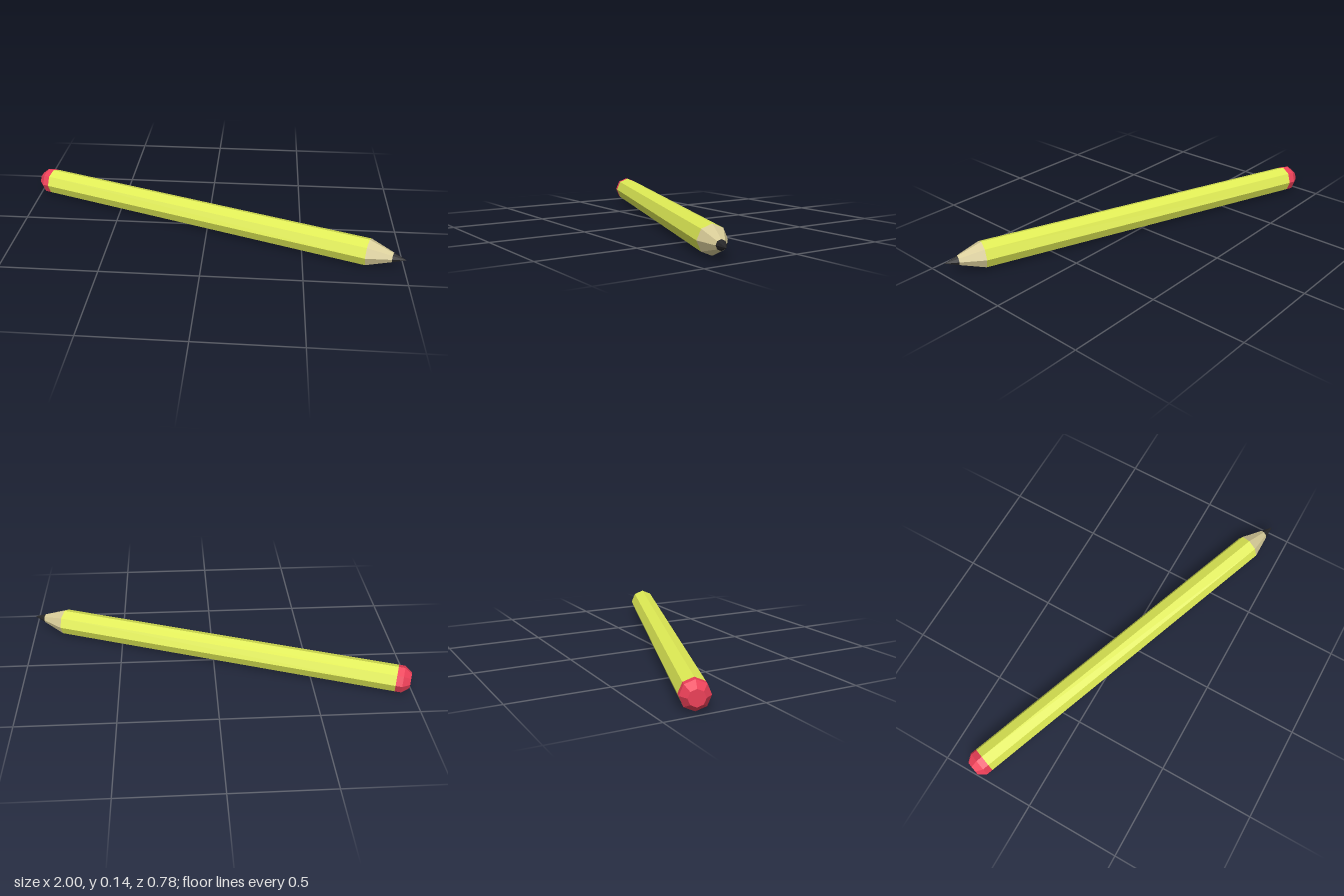
import * as THREE from 'three';

const SIDES = 8;

export function createModel() {
  const model = new THREE.Group();
  model.name = 'pencil';

  const material = (color) => new THREE.MeshStandardMaterial({ color, flatShading: true });
  const yellow = material(0xe0ec55);
  const wood = material(0xd8cc98);
  const graphite = material(0x262628);
  const red = material(0xec4058);

  // The pencil lies along local x, with its point at the origin.
  const shaft = new THREE.Group();
  shaft.name = 'shaft';
  shaft.position.set(1, 0.07, 0.388);
  shaft.rotation.y = THREE.MathUtils.degToRad(-20);
  model.add(shaft);

  // Eight-sided section between two distances behind the point.
  function section(name, near, nearRadius, far, farRadius, mat, open = true) {
    const geometry = new THREE.CylinderGeometry(nearRadius, farRadius, far - near, SIDES, 1, open);
    geometry.rotateZ(-Math.PI / 2);
    geometry.translate(-(near + far) / 2, 0, 0);
    const mesh = new THREE.Mesh(geometry, mat);
    mesh.name = name;
    shaft.add(mesh);
  }

  section('lead', 0, 0, 0.067, 0.0247, graphite);
  section('sharpenedWood', 0.067, 0.0247, 0.19, 0.07, wood);
  section('body', 0.19, 0.07, 2.043, 0.07, yellow);
  section('eraserBand', 2.043, 0.07, 2.076, 0.07, red);
  // Bevelled end, closed at the back
  section('eraserEnd', 2.076, 0.07, 2.113, 0.04, red, false);

  return model;
}
